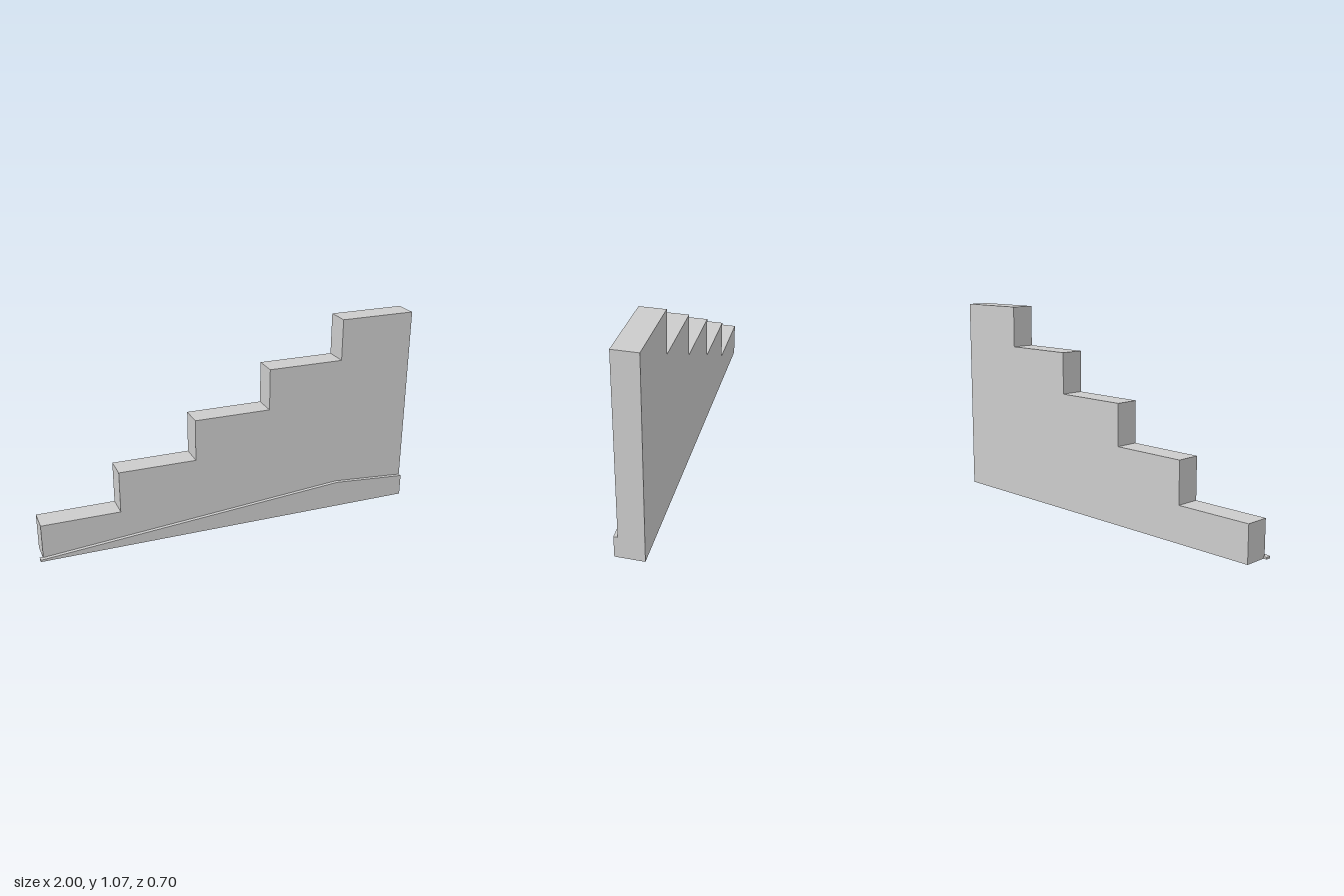
import * as THREE from 'three';

const STEPS = 5, STEP = 0.4075, RISE = 0.22, BASE = 0.19, DEPTH = 0.127;
const HALF = STEPS * STEP / 2;

// Extrude an outline in x/y between two z positions
function slab(name, points, z0, z1, material) {
  const shape = new THREE.Shape(points.map(([x, y]) => new THREE.Vector2(x, y)));
  const geometry = new THREE.ExtrudeGeometry(shape, { depth: z1 - z0, bevelEnabled: false });
  geometry.translate(0, 0, z0);
  const mesh = new THREE.Mesh(geometry, material);
  mesh.name = name;
  return mesh;
}

export function createModel() {
  const model = new THREE.Group();
  model.name = 'steppedWall';
  const grey = new THREE.MeshStandardMaterial({ color: 0xcccccc });
  grey.name = 'plain grey';

  // Wall with a stepped top rising to the right
  const outline = [[-HALF, 0], [HALF, 0]];
  for (let i = STEPS - 1; i >= 0; i--) {
    const y = BASE + i * RISE;
    outline.push([-HALF + (i + 1) * STEP, y], [-HALF + i * STEP, y]);
  }
  model.add(slab('wall', outline, -DEPTH / 2, DEPTH / 2, grey));

  // Thin sloping bank along the foot of the front face
  const bank = [[-HALF - 0.017, 0], [HALF, 0], [HALF, 0.115], [HALF - STEP, 0.145], [-HALF - 0.017, 0.01]];
  model.add(slab('bank', bank, DEPTH / 2 - 0.008, DEPTH / 2 + 0.02, grey));

  // The wall stands at an angle to the front
  model.rotation.y = 0.276;
  model.position.set(-0.004, 0, -0.011);
  const root = new THREE.Group();
  root.name = 'model';
  root.add(model);
  return root;
}
